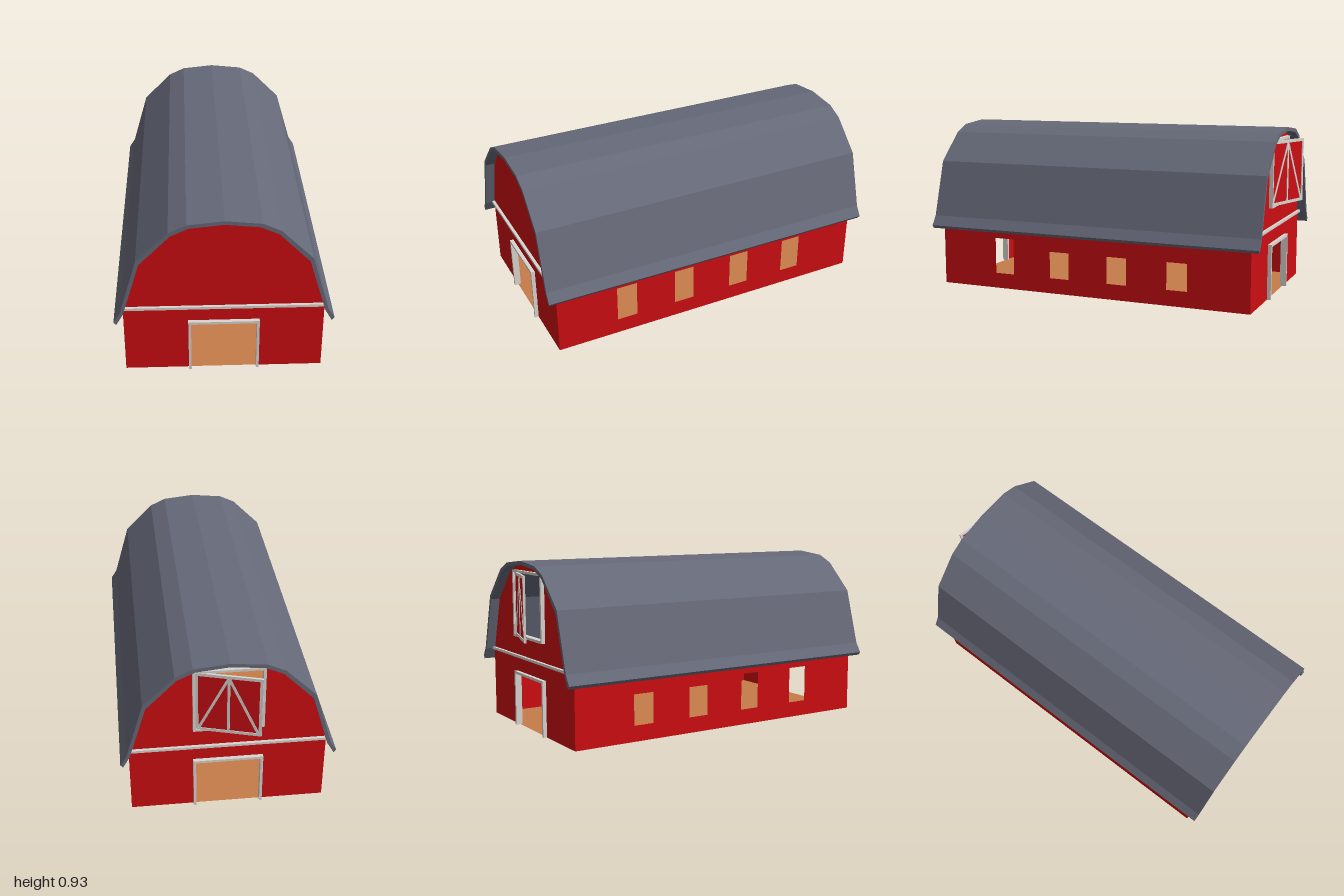
import * as THREE from 'three';

const mat = (color) => new THREE.MeshStandardMaterial({ color, side: THREE.DoubleSide });
const RED = mat(0xcc0d12), ROOF = mat(0x666978), TRIM = mat(0xd9d5d0), FLOOR = mat(0xc67c48);
const FRONT = 0.947, BACK = -0.893, HALF = 0.513;

function add(parent, name, geometry, material, x = 0, y = 0, z = 0) {
  const mesh = new THREE.Mesh(geometry, material);
  mesh.name = name;
  mesh.position.set(x, y, z);
  parent.add(mesh);
  return mesh;
}

// Right half of a profile, mirrored into a left-to-right line
const mirrored = (half) => [...half.slice(1).reverse().map(([x, y]) => [-x, y]), ...half];
const toShape = (pts) => new THREE.Shape(pts.map(([x, y]) => new THREE.Vector2(x, y)));

function cutRect(shape, x0, x1, y0, y1) {
  shape.holes.push(new THREE.Path([[x0, y0], [x0, y1], [x1, y1], [x1, y0]].map(([x, y]) => new THREE.Vector2(x, y))));
}

// Straight bar between two points in the xy plane
function bar(parent, name, [ax, ay], [bx, by], width, depth, z = 0) {
  const length = Math.hypot(bx - ax, by - ay);
  const mesh = add(parent, name, new THREE.BoxGeometry(length, width, depth), TRIM, (ax + bx) / 2, (ay + by) / 2, z);
  mesh.rotation.z = Math.atan2(by - ay, bx - ax);
}

// Rectangular border of bars; the bottom bar is optional
function border(parent, name, x0, x1, y0, y1, w, depth, z, bottom) {
  const h = w / 2;
  bar(parent, name + 'Side', [x0 + h, y0], [x0 + h, y1], w, depth, z);
  bar(parent, name + 'Side', [x1 - h, y0], [x1 - h, y1], w, depth, z);
  bar(parent, name + 'Top', [x0 + w, y1 - h], [x1 - w, y1 - h], w, depth, z);
  if (bottom) bar(parent, name + 'Bottom', [x0 + w, y0 + h], [x1 - w, y0 + h], w, depth, z);
}

export function createModel() {
  const barn = new THREE.Group();
  barn.name = 'barn';

  // Gambrel roof with flared eaves
  const outer = [[0, 0.928], [0.183, 0.909], [0.273, 0.867], [0.435, 0.706], [0.525, 0.397], [0.559, 0.343]];
  const inner = [[0, 0.908], [0.172, 0.89], [0.263, 0.848], [0.42, 0.687], [0.509, 0.39], [0.546, 0.326]];
  const roofShape = toShape([...mirrored(outer), ...mirrored(inner).reverse()]);
  add(barn, 'roof', new THREE.ExtrudeGeometry(roofShape, { depth: 1.945, bevelEnabled: false }), ROOF, 0, 0, -0.945);

  // Floor
  const floor = add(barn, 'floor', new THREE.PlaneGeometry(HALF * 2, FRONT - BACK), FLOOR, 0, 0.001, (FRONT + BACK) / 2);
  floor.rotation.x = -Math.PI / 2;

  // End walls with barn doorway, its frame and the belt trim
  for (const [name, z, dir] of [['front', FRONT, 1], ['back', BACK, -1]]) {
    const wall = toShape([
      [-HALF, 0], [-HALF, 0.39], ...mirrored(inner.slice(0, 5)), [HALF, 0.39], [HALF, 0],
      [0.17, 0], [0.17, 0.29], [-0.17, 0.29], [-0.17, 0],
    ]);
    if (dir < 0) cutRect(wall, -0.17, 0.17, 0.515, 0.857);
    add(barn, name + 'Wall', new THREE.ShapeGeometry(wall), RED, 0, 0, z);
    border(barn, name + 'DoorFrame', -0.183, 0.183, 0, 0.305, 0.014, 0.036, z + dir * 0.003, false);
    bar(barn, name + 'BeltTrim', [-0.512, 0.391], [0.512, 0.391], 0.014, 0.02, z + dir * 0.006);
  }

  // Side walls with four windows each
  const side = toShape([[BACK, 0], [FRONT, 0], [FRONT, 0.392], [BACK, 0.392]]);
  for (const z of [0.547, 0.201, -0.146, -0.492]) cutRect(side, z - 0.058, z + 0.058, 0.086, 0.289);
  for (const s of [-1, 1]) {
    const wall = add(barn, s > 0 ? 'leftWall' : 'rightWall', new THREE.ShapeGeometry(side), RED, s * HALF);
    wall.rotation.y = -Math.PI / 2;
  }

  // Loft opening frame in the back gable
  border(barn, 'loftFrame', -0.183, 0.183, 0.502, 0.87, 0.014, 0.036, BACK - 0.003, true);

  // Loft door, standing ajar on its hinge
  const door = new THREE.Group();
  door.name = 'loftDoor';
  const W = 0.338, y0 = 0.51, y1 = 0.86;
  add(door, 'loftDoorPanel', new THREE.BoxGeometry(W - 0.01, y1 - y0 - 0.01, 0.004), RED, -W / 2, (y0 + y1) / 2, 0);
  border(door, 'loftDoorBorder', -W, 0, y0, y1, 0.016, 0.012, 0, true);
  const apex = [-W / 2, y1 - 0.014];
  bar(door, 'loftDoorPost', [-W / 2, y0 + 0.01], apex, 0.014, 0.010, 0);
  for (const x of [-0.018, -W + 0.018]) bar(door, 'loftDoorBrace', [x, y0 + 0.014], apex, 0.014, 0.009, 0);
  door.position.set(0.17, 0, BACK - 0.007);
  door.rotation.y = -0.28;
  barn.add(door);

  return barn;
}
